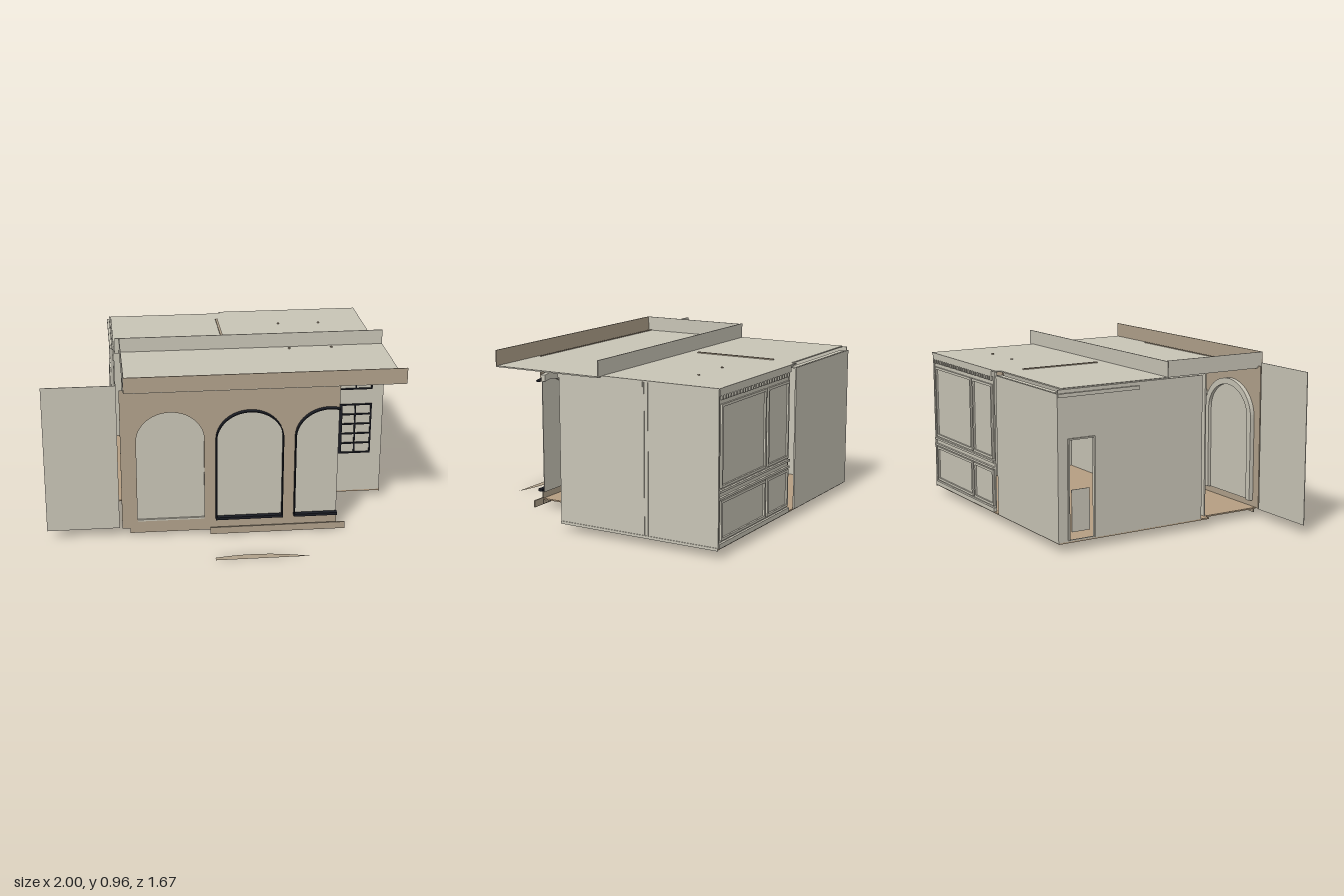
import * as THREE from 'three';

const mat = (name, color) => {
  const m = new THREE.MeshStandardMaterial({ color, side: THREE.DoubleSide });
  m.name = name;
  return m;
};

export function createModel() {
  const model = new THREE.Group();
  model.name = 'building';
  const plaster = mat('pale plaster', 0xc8c4b6);
  const tan = mat('tan facade', 0xb0a18b);
  const black = mat('black frame', 0x1b1d24);
  const wood = mat('wood floor', 0xb59e82);

  // Box given by its limits on each axis
  const box = (name, m, x0, x1, y0, y1, z0, z1, parent = model) => {
    const mesh = new THREE.Mesh(new THREE.BoxGeometry(x1 - x0, y1 - y0, z1 - z0), m);
    mesh.position.set((x0 + x1) / 2, (y0 + y1) / 2, (z0 + z1) / 2);
    mesh.name = name;
    parent.add(mesh);
    return mesh;
  };
  // Flat outline in x and y, extruded from z0 to z1
  const slab = (name, m, points, z0, z1, holes = []) => {
    const shape = new THREE.Shape(points);
    holes.forEach(h => shape.holes.push(new THREE.Path(h)));
    const geo = new THREE.ExtrudeGeometry(shape, { depth: z1 - z0, bevelEnabled: false });
    const mesh = new THREE.Mesh(geo, m);
    mesh.position.z = z0;
    mesh.name = name;
    model.add(mesh);
    return mesh;
  };
  const V = (x, y) => new THREE.Vector2(x, y);
  const rect = (x0, x1, y0, y1) => [V(x0, y0), V(x1, y0), V(x1, y1), V(x0, y1)];

  // Arch outline from the left foot to the right foot, cut off at the facade end
  const END = 0.635, FOOT = 0.09, SPRING = 0.575, RISE = 0.167, HALF = 0.188;
  const arch = (cx, grow = 0) => {
    const w = HALF + grow, h = RISE + grow, pts = [V(cx - w, FOOT)];
    for (let i = 0; i <= 32; i++) {
      const a = Math.PI * (1 - i / 32);
      pts.push(V(cx + w * Math.cos(a), SPRING + h * Math.sin(a)));
    }
    pts.push(V(cx + w, FOOT));
    if (cx + w < END) return pts;
    const kept = pts.filter(p => p.x < END - 0.001);
    kept.push(V(END, SPRING + h * Math.sqrt(1 - ((END - cx) / w) ** 2)));
    return kept;
  };
  const centres = [-0.305, 0.135, 0.577];

  // Arched facade: two full openings and one cut by the right end
  slab('archedFacade', tan, [
    V(-0.58, 0.05), V(-0.535, 0.05), V(-0.535, 0.02), V(END, 0.02), V(END, FOOT),
    ...arch(centres[2]), V(END, 0.88), V(-0.58, 0.88),
  ], 0.492, 0.498, [arch(centres[0]), arch(centres[1])]);

  centres.forEach((cx, i) => {
    const inner = arch(cx);
    const right = Math.min(cx + HALF, END);
    const pane = i === 2 ? [...inner, V(END, FOOT)] : inner;
    slab('archPane', plaster, pane, 0.484, 0.488);
    slab('archInnerTrim', plaster, [...arch(cx, 0.036), ...arch(cx).reverse()], 0.465, 0.491);
    if (i > 0) {
      slab('archFrame', black, [...arch(cx, 0.001), ...arch(cx, -0.005).reverse()], 0.499, 0.528);
      box('archSill', black, cx - HALF, right, 0.09, 0.105, 0.499, 0.528);
    } else {
      box('archSill', plaster, cx - HALF, right, 0.09, 0.1, 0.489, 0.5);
    }
  });
  box('frontStep', tan, -0.085, 0.68, 0.005, 0.045, 0.52, 0.528);

  // Free-standing side panel
  box('sidePanel', plaster, -1, -0.595, 0.05, 0.905, 0.485, 0.489);

  // Flat roofs
  box('mainRoof', plaster, -0.585, 0.965, 0.868, 0.875, -0.805, -0.135);
  box('mainRoofRear', plaster, 0.1, 0.965, 0.868, 0.875, -0.835, -0.805);
  box('frontRoof', plaster, -0.555, 1, 0.868, 0.875, -0.135, 0.52);
  // Parapet, open on the right side
  box('frontParapet', tan, -0.555, 1, 0.872, 0.96, 0.516, 0.522);
  box('rearParapet', plaster, -0.58, 1, 0.872, 0.96, -0.14, -0.134);
  box('leftParapet', plaster, -0.557, -0.552, 0.872, 0.96, -0.135, 0.516);
  // Roof seam and small roof fittings
  box('roofSeam', tan, 0.062, 0.076, 0.87, 0.881, -0.68, -0.2);
  for (const x of [0.44, 0.69]) for (const z of [-0.56, -0.1]) {
    const dot = new THREE.Mesh(new THREE.CylinderGeometry(0.007, 0.007, 0.006, 8), tan);
    dot.position.set(x, 0.878, z);
    dot.name = 'roofFitting';
    model.add(dot);
  }

  // Floors
  box('mainFloor', wood, -0.595, 0.96, 0.045, 0.053, -0.83, 0.135);
  box('porchFloor', wood, -0.555, END, 0.045, 0.053, 0.135, 0.492);

  // Right wall with a pair of vertical joints and a cornice
  box('rightWall', plaster, 0.95, 0.96, 0.05, 0.87, -0.83, 0.135);
  for (const z of [-0.395, -0.418]) box('wallJoint', plaster, 0.96, 0.964, 0.05, 0.87, z, z + 0.006);
  box('rightCornice', plaster, 0.96, 0.965, 0.84, 0.87, -0.385, 0.14);
  box('rightPlinth', plaster, 0.96, 0.964, 0.04, 0.055, -0.83, 0.135);

  // Inner front wall, its ledge and door
  box('shopFrontWall', plaster, -0.555, 0.96, 0.05, 0.87, 0.127, 0.135);
  box('frontLedge', plaster, 0.5, 0.93, 0.832, 0.85, 0.135, 0.15);
  box('ledgeShadowStrip', black, 0.5, 0.93, 0.838, 0.843, 0.15, 0.152);
  box('frontDoor', black, 0.35, 0.46, 0.06, 0.74, 0.135, 0.143);

  // Window grids
  const windowGrid = (name, x0, x1, y0, y1, cols, rows) => {
    const g = new THREE.Group();
    g.name = name;
    for (let i = 0; i <= cols; i++) {
      const x = x0 + (x1 - x0) * i / cols;
      box('upright', black, x - 0.004, x + 0.004, y0 - 0.004, y1 + 0.004, 0.135, 0.143, g);
    }
    for (let j = 0; j <= rows; j++) {
      const y = y0 + (y1 - y0) * j / rows;
      box('crossbar', black, x0, x1, y - 0.004, y + 0.004, 0.135, 0.143, g);
    }
    model.add(g);
  };
  windowGrid('upperWindow', 0.52, 0.89, 0.7, 0.81, 4, 1);
  windowGrid('lowerWindow', 0.52, 0.89, 0.3, 0.602, 4, 5);
  box('windowPost', black, 0.7, 0.722, 0.3, 0.602, 0.135, 0.144);

  // Left wall with a doorway, drawn in z and y then turned to face the side
  const left = slab('leftWall', plaster, rect(-0.08, 0.83, 0.05, 0.87), 0, 0.008,
    [rect(0.62, 0.77, 0.06, 0.6)]);
  left.rotation.y = Math.PI / 2;
  left.position.set(-0.595, 0, 0);
  for (const z of [-0.776, -0.62]) box('doorJamb', plaster, -0.605, -0.587, 0.06, 0.606, z, z + 0.008);
  box('doorHead', plaster, -0.605, -0.587, 0.6, 0.608, -0.776, -0.612);
  box('doorLowerPanel', plaster, -0.59, -0.586, 0.1, 0.33, -0.75, -0.64);
  box('leftTopTrim', plaster, -0.607, -0.595, 0.83, 0.85, -0.835, -0.335);

  // Rear wall: plain panel, narrow gap and panelled half
  box('rearPlainPanel', plaster, -0.6, 0.1, 0.05, 0.85, -0.836, -0.828);
  box('rearPanelCap', plaster, -0.555, 0.1, 0.845, 0.852, -0.832, -0.8);
  box('rearGap', tan, 0.1, 0.17, 0.05, 0.868, -0.795, -0.785);
  box('rearPanelledWall', plaster, 0.16, 0.955, 0.05, 0.87, -0.822, -0.814);
  const frame = (x0, x1, y0, y1) => {
    const t = 0.014, z0 = -0.832, z1 = -0.822;
    box('panelSide', plaster, x0, x0 + t, y0, y1, z0, z1);
    box('panelSide', plaster, x1 - t, x1, y0, y1, z0, z1);
    box('panelRail', plaster, x0 + t, x1 - t, y0, y0 + t, z0, z1);
    box('panelRail', plaster, x0 + t, x1 - t, y1 - t, y1, z0, z1);
  };
  for (const [x0, x1] of [[0.44, 0.93], [0.17, 0.42]]) {
    frame(x0, x1, 0.36, 0.79);
    frame(x0, x1, 0.085, 0.295);
  }
  for (const y of [0.302, 0.338]) box('rearRail', plaster, 0.16, 0.955, y, y + 0.012, -0.835, -0.822);
  box('rearPlinth', plaster, 0.16, 0.955, 0.05, 0.075, -0.835, -0.822);
  box('rearCornice', plaster, 0.16, 0.955, 0.835, 0.868, -0.834, -0.822);
  for (let i = 0; i < 26; i++) {
    const x = 0.17 + i * 0.03;
    box('corniceBlock', plaster, x, x + 0.014, 0.812, 0.835, -0.832, -0.822);
  }

  // Curved flat piece lying on the ground in front
  const crescent = [V(-0.085, -0.83), V(0.43, -0.83)];
  for (let i = 1; i <= 16; i++) {
    const x = 0.43 - 0.515 * i / 16;
    crescent.push(V(x, -0.78 - 0.05 * ((x - 0.12) / 0.31) ** 2));
  }
  const curve = new THREE.Mesh(new THREE.ShapeGeometry(new THREE.Shape(crescent)), tan);
  curve.rotation.x = -Math.PI / 2;
  curve.name = 'groundCrescent';
  model.add(curve);

  return model;
}
